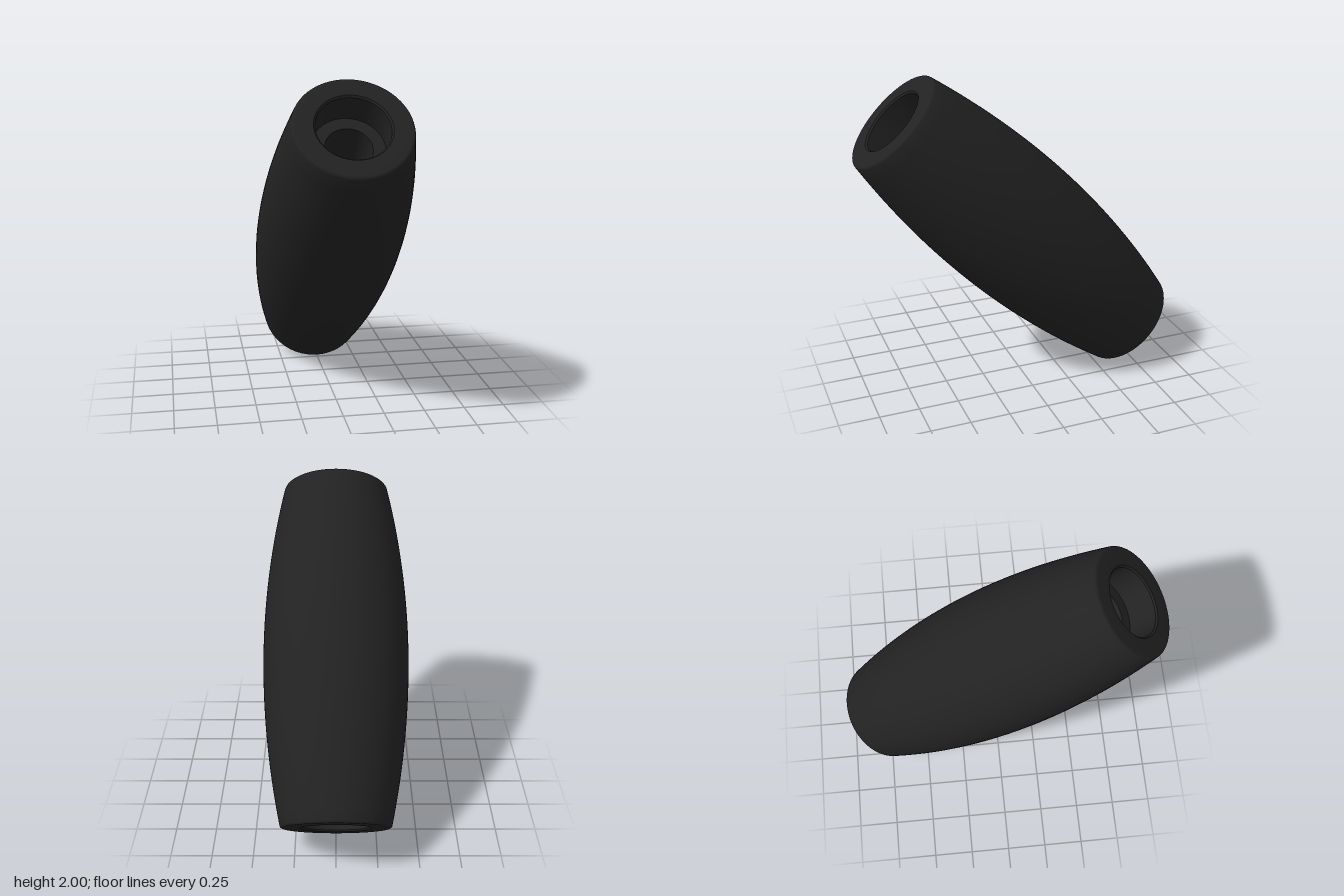
import * as THREE from 'three';
import { toCreasedNormals } from 'three/addons/utils/BufferGeometryUtils.js';

const HALF = 1.09;      // half length along the axis
const BULGE = 0.45;     // radius at the middle
const FILLET = 0.02;    // outer edge rounding
const CORNER = 0.315;   // radius at which the outer rounding is centred
const COUNTERBORE = 0.205, DEPTH = 0.19, BORE = 0.133, CHAMFER = 0.01;

// Profile of one half, from the middle of the outside round to the middle of the bore
function halfProfile() {
  const points = [];
  const shoulder = HALF - FILLET, start = 0.21;
  const endRadius = CORNER + FILLET * Math.cos(start);
  const endY = shoulder + FILLET * Math.sin(start);

  // barrel-shaped outside
  for (let i = 0; i < 16; i++) {
    const t = i / 16;
    points.push([BULGE - (BULGE - endRadius) * t * t, endY * t]);
  }
  // rounded outer edge
  for (let i = 0; i <= 5; i++) {
    const a = start + (Math.PI / 2 - start) * (i / 5);
    points.push([CORNER + FILLET * Math.cos(a), shoulder + FILLET * Math.sin(a)]);
  }
  // chamfered counterbore, ledge and through bore
  points.push(
    [COUNTERBORE + CHAMFER, HALF],
    [COUNTERBORE, HALF - CHAMFER],
    [COUNTERBORE, HALF - DEPTH],
    [BORE, HALF - DEPTH],
    [BORE, 0]
  );
  return points;
}

export function createModel() {
  const group = new THREE.Group();
  group.name = 'barrelGrip';

  // mirror the half profile into one closed loop
  const top = halfProfile();
  const bottom = top.slice(1, -1).reverse().map(([r, y]) => [r, -y]);
  const loop = [...top, ...bottom, top[0]].map(([r, y]) => new THREE.Vector2(r, y));

  const geometry = toCreasedNormals(new THREE.LatheGeometry(loop, 80), 0.5);
  const body = new THREE.Mesh(geometry, new THREE.MeshStandardMaterial({ color: 0x222222 }));
  body.name = 'hollowBody';

  // tilted so the upper end leans to the front
  body.rotation.x = Math.PI / 4;
  body.position.y = 1;
  group.add(body);
  return group;
}
